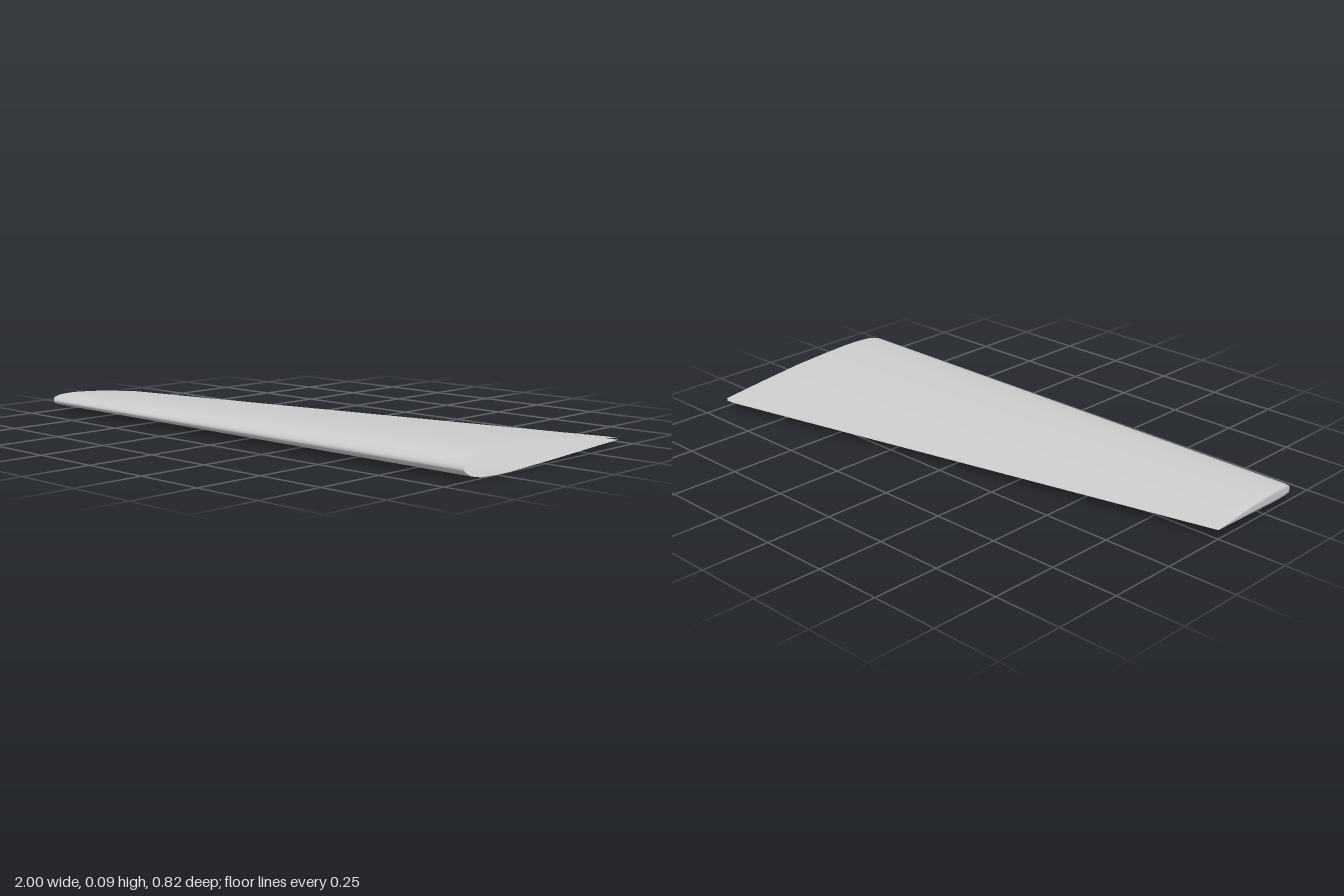
import * as THREE from 'three';

// Root aerofoil as [z, y]: upper trailing edge, round the nose, lower trailing edge
const upper = [[-0.408, 0.033], [-0.3, 0.047], [-0.2, 0.059], [-0.05, 0.076], [0.05, 0.083], [0.13, 0.088],
  [0.19, 0.091], [0.25, 0.092], [0.325, 0.088], [0.37, 0.076], [0.398, 0.057], [0.405, 0.048]];
const lower = [[0.405, 0.034], [0.398, 0.028], [0.37, 0.014], [0.325, 0.005], [0.25, 0.002], [0.19, 0.002],
  [0.13, 0.004], [0.05, 0.007], [-0.05, 0.011], [-0.2, 0.018], [-0.3, 0.023], [-0.408, 0.027]];
const profile = [...upper, [0.408, 0.04], ...lower];
const NOSE_Z = 0.408, NOSE_Y = 0.04;

// Spanwise stations: x, thickness factor and nose inset (the last ones round off and close the tip)
const stations = [
  [1, 1, 0], [0.96, 1, 0], [0.5, 1, 0], [0, 1, 0], [-0.5, 1, 0], [-0.97, 1, 0],
  [-0.985, 0.97, 0.003], [-0.995, 0.88, 0.009], [-1, 0.74, 0.018], [-1, 0.35, 0.022], [-1, 0, 0.025],
];

function wingSkin() {
  const positions = [], index = [], n = profile.length;
  stations.forEach(([x, thick, inset], r) => {
    const s = Math.min(1, 0.5 + 0.5 * (x + 1) / 1.96);
    profile.forEach(([z, y], c) => {
      // camber line halfway between the paired upper and lower points
      const mid = (y + profile[n - 1 - c][1]) / 2;
      const yy = NOSE_Y + s * (mid + (y - mid) * thick - NOSE_Y);
      const zz = Math.min(NOSE_Z + s * (z - NOSE_Z), NOSE_Z - inset);
      positions.push(x, yy, zz);
      if (r < stations.length - 1 && c < n - 1) {
        const a = r * n + c, b = a + n;
        index.push(a, b, a + 1, a + 1, b, b + 1);
      }
    });
  });
  const g = new THREE.BufferGeometry();
  g.setAttribute('position', new THREE.Float32BufferAttribute(positions, 3));
  g.setIndex(index);
  g.computeVertexNormals();
  return g;
}

export function createModel() {
  const group = new THREE.Group();
  group.name = 'wing';
  // Hollow skin, open at the root and along the thin trailing edge slot
  const material = new THREE.MeshStandardMaterial({ color: 0xcccccc, side: THREE.DoubleSide });
  const skin = new THREE.Mesh(wingSkin(), material);
  skin.name = 'wingSkin';
  group.add(skin);
  return group;
}
